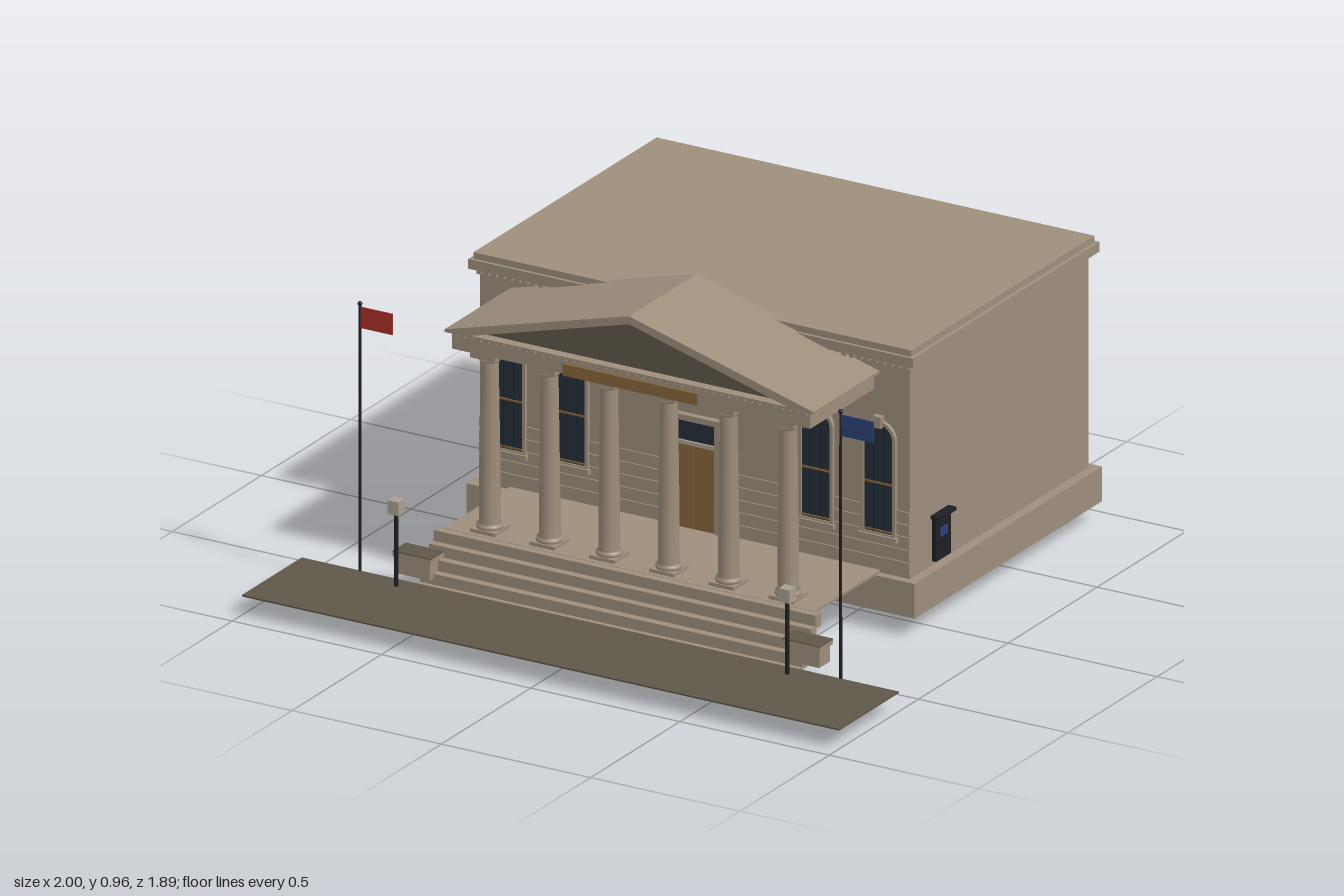
import * as THREE from 'three';

const mat = (name, color, extra = {}) => {
  const m = new THREE.MeshStandardMaterial({ color, ...extra });
  m.name = name;
  return m;
};

export function createModel() {
  const stone = mat('stone', 0x9e8e7c);
  const darkStone = mat('dark stone', 0x5f5748);
  const glass = mat('dark glass', 0x232e38);
  const bronze = mat('bronze', 0x86653a);
  const black = mat('black metal', 0x1c1e22);
  const red = mat('red cloth', 0xa83028);
  const blue = mat('blue cloth', 0x2b4078);
  const lampGlass = mat('lamp glass', 0xaa9f90);

  const model = new THREE.Group();
  model.name = 'columnedBuilding';

  const add = (name, geometry, material, parent = model) => {
    const mesh = new THREE.Mesh(geometry, material);
    mesh.name = name;
    parent.add(mesh);
    return mesh;
  };
  // box given by its extents on each axis
  const box = (name, x0, x1, y0, y1, z0, z1, material = stone, parent = model) => {
    const m = add(name, new THREE.BoxGeometry(x1 - x0, y1 - y0, z1 - z0), material, parent);
    m.position.set((x0 + x1) / 2, (y0 + y1) / 2, (z0 + z1) / 2);
    return m;
  };
  const polygon = (points) => new THREE.Shape(points.map(([x, y]) => new THREE.Vector2(x, y)));
  const extrude = (name, shape, z0, z1, material, parent = model) => {
    const g = new THREE.ExtrudeGeometry(shape, { depth: z1 - z0, bevelEnabled: false, curveSegments: 8 });
    g.translate(0, 0, z0);
    return add(name, g, material, parent);
  };

  // Main hall
  box('base', -0.75, 0.75, 0.06, 0.168, -0.945, 0.105);
  box('hall', -0.72, 0.72, 0.168, 0.835, -0.92, 0.08);
  box('cornice', -0.745, 0.745, 0.835, 0.865, -0.94, 0.105);
  box('roof', -0.733, 0.733, 0.865, 0.885, -0.93, 0.095);
  for (let i = 0; i < 5; i++) {
    const y = 0.185 + i * 0.039;
    for (const s of [-1, 1]) {
      box('stoneCourse', s > 0 ? 0.095 : -0.72, s > 0 ? 0.72 : -0.095, y, y + 0.033, 0.079, 0.085);
    }
  }
  for (let i = 0; i < 56; i++) {
    const x = -0.715 + i * 0.026;
    box('corniceDentil', x - 0.007, x + 0.007, 0.822, 0.836, 0.079, 0.098);
  }

  // Arched windows
  const arch = (half, y0, spring) => {
    const s = new THREE.Shape();
    s.moveTo(-half, y0);
    s.lineTo(half, y0);
    s.lineTo(half, spring);
    s.absarc(0, spring, half, 0, Math.PI, false);
    s.lineTo(-half, y0);
    return s;
  };
  for (const x of [-0.62, -0.41, 0.41, 0.62]) {
    const w = new THREE.Group();
    w.name = 'archedWindow';
    w.position.x = x;
    model.add(w);
    const frame = arch(0.058, 0.285, 0.585);
    frame.holes.push(arch(0.048, 0.295, 0.585));
    extrude('windowFrame', frame, 0.079, 0.093, stone, w);
    extrude('windowPane', arch(0.05, 0.29, 0.585), 0.08, 0.087, glass, w);
    box('windowBar', -0.048, 0.048, 0.446, 0.452, 0.084, 0.09, bronze, w);
    box('windowBarLow', -0.048, 0.048, 0.299, 0.304, 0.084, 0.09, bronze, w);
    for (const bx of [-0.017, 0.017]) box('windowMullion', bx - 0.001, bx + 0.001, 0.295, 0.625, 0.084, 0.089, black, w);
    box('windowSill', -0.064, 0.064, 0.275, 0.29, 0.079, 0.1, stone, w);
    box('keystone', -0.014, 0.014, 0.622, 0.657, 0.079, 0.1, stone, w);
  }

  // Entrance
  for (const s of [-1, 1]) {
    box('doorJamb', Math.min(s * 0.073, s * 0.09), Math.max(s * 0.073, s * 0.09), 0.175, 0.515, 0.079, 0.095);
    box('doorLeaf', s > 0 ? 0.001 : -0.073, s > 0 ? 0.073 : -0.001, 0.175, 0.435, 0.079, 0.088, bronze);
  }
  box('doorLintel', -0.095, 0.095, 0.512, 0.53, 0.079, 0.1);
  box('transomBar', -0.073, 0.073, 0.435, 0.447, 0.079, 0.093, lampGlass);
  box('transomGlass', -0.073, 0.073, 0.447, 0.512, 0.079, 0.086, glass);

  // Portico floor and stairs
  box('porticoFloor', -0.62, 0.62, 0.168, 0.176, 0.08, 0.45);
  for (let i = 0; i < 5; i++) {
    const top = 0.175 - i * 0.0335;
    box('step', -0.64, 0.64, top - 0.041, top, 0.445 + i * 0.025, 0.475 + i * 0.025);
  }
  for (const s of [-1, 1]) {
    const cheek = new THREE.Group();
    cheek.name = 'stairCheek';
    cheek.position.x = s * 0.652;
    model.add(cheek);
    box('cheekBlock', -0.058, 0.058, 0.06, 0.113, 0.51, 0.57, stone, cheek);
    box('cheekCap', -0.064, 0.064, 0.113, 0.127, 0.503, 0.576, stone, cheek);
    box('cheekTop', -0.064, 0.064, 0.127, 0.13, 0.503, 0.576, darkStone, cheek);
  }

  // Columns
  const shaft = new THREE.LatheGeometry([
    [0, 0.186], [0.038, 0.186], [0.04, 0.192], [0.038, 0.199], [0.031, 0.203],
    [0.031, 0.35], [0.026, 0.7], [0.031, 0.704], [0.036, 0.718], [0, 0.718],
  ].map(([r, y]) => new THREE.Vector2(r, y)), 20);
  for (let i = 0; i < 6; i++) {
    const column = new THREE.Group();
    column.name = 'column';
    column.position.set(-0.5 + i * 0.2, 0, 0.393);
    model.add(column);
    add('columnShaft', shaft, stone, column);
    box('columnPlinth', -0.042, 0.042, 0.175, 0.187, -0.042, 0.042, stone, column);
    box('columnCapital', -0.042, 0.042, 0.717, 0.735, -0.042, 0.042, stone, column);
  }

  // Entablature and pediment
  box('entablature', -0.6, 0.6, 0.733, 0.787, 0.07, 0.438);
  box('nameBoard', -0.225, 0.225, 0.73, 0.766, 0.437, 0.446, bronze);
  for (let i = 0; i < 46; i++) {
    const x = -0.585 + i * 0.026;
    box('entablatureDentil', x - 0.006, x + 0.006, 0.775, 0.787, 0.437, 0.445);
  }
  const gable = [[-0.618, 0.785], [0.618, 0.785], [0.618, 0.793], [0, 0.962], [-0.618, 0.793]];
  const tympanum = [[-0.53, 0.791], [0.53, 0.791], [0, 0.937]];
  extrude('porticoRoof', polygon(gable), 0.07, 0.415, stone);
  const rake = polygon(gable);
  rake.holes.push(polygon(tympanum));
  extrude('pedimentFrame', rake, 0.415, 0.45, stone);
  extrude('tympanum', polygon(tympanum), 0.413, 0.418, darkStone);

  // Pavement
  box('pavement', -1, 1, 0.057, 0.062, 0.61, 0.945, darkStone);

  // Lamp posts, flagpoles and flags
  for (const s of [-1, 1]) {
    const post = add('lampPost', new THREE.CylinderGeometry(0.006, 0.007, 0.23, 8), black);
    post.position.set(s * 0.655, 0.175, 0.658);
    box('lampHead', s * 0.655 - 0.018, s * 0.655 + 0.018, 0.288, 0.33, 0.64, 0.676, lampGlass);

    const pole = add('flagpole', new THREE.CylinderGeometry(0.004, 0.005, 0.83, 8), black);
    pole.position.set(s * 0.805, 0.475, 0.61);
    const ball = add('flagpoleBall', new THREE.SphereGeometry(0.007, 10, 8), black);
    ball.position.set(s * 0.805, 0.89, 0.61);
    box('flag', s * 0.805, s * 0.805 + 0.11, 0.815, 0.88, 0.608, 0.612, s < 0 ? red : blue);
  }

  // Drop box on the left wall
  box('dropBox', 0.719, 0.735, 0.182, 0.312, -0.125, -0.042, black);
  box('dropBoxHood', 0.719, 0.748, 0.314, 0.324, -0.135, -0.035, black);
  box('dropBoxLabel', 0.733, 0.738, 0.252, 0.28, -0.103, -0.062, blue);

  return model;
}
